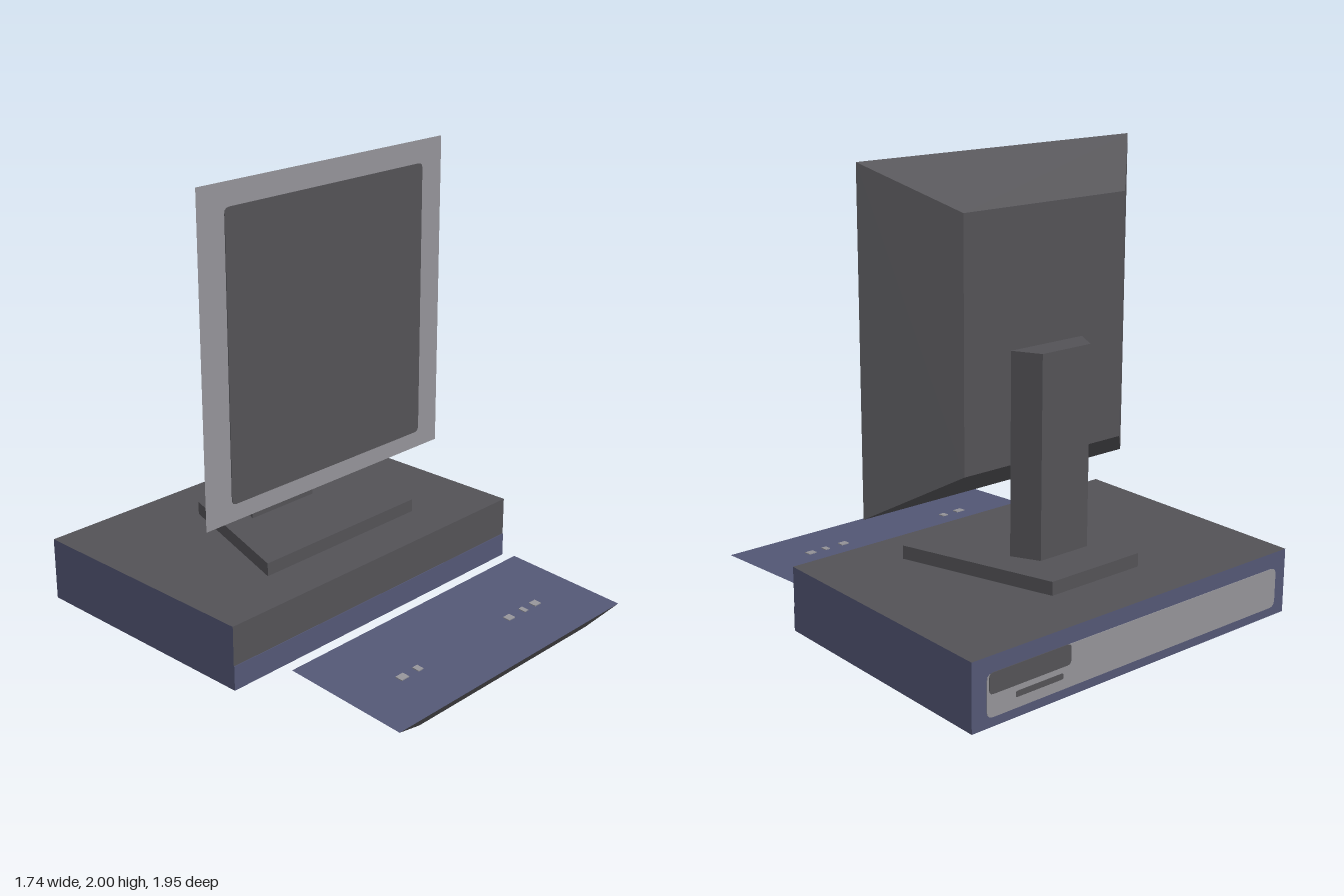
import * as THREE from 'three';

const mat = (name, color) => {
  const m = new THREE.MeshStandardMaterial({ color, side: THREE.DoubleSide });
  m.name = name;
  return m;
};

// Block between two four-cornered rings; materials: [capA, capB, side0..side3], null leaves a face open
function block(name, ringA, ringB, materials) {
  const pos = [], groups = [];
  const quad = (a, b, c, d, material) => {
    if (!material) return;
    groups.push(material);
    pos.push(...a, ...b, ...c, ...a, ...c, ...d);
  };
  const [A, B] = [ringA, ringB];
  quad(A[0], A[3], A[2], A[1], materials[0]);
  quad(B[0], B[1], B[2], B[3], materials[1]);
  for (let i = 0; i < 4; i++) {
    const j = (i + 1) % 4;
    quad(A[i], A[j], B[j], B[i], materials[2 + i]);
  }
  const g = new THREE.BufferGeometry();
  g.setAttribute('position', new THREE.Float32BufferAttribute(pos, 3));
  groups.forEach((_, i) => g.addGroup(i * 6, 6, i));
  g.computeVertexNormals();
  const mesh = new THREE.Mesh(g, groups);
  mesh.name = name;
  return mesh;
}

// Horizontal ring: front edge then back edge, each with half width, z and y
const flatRing = (wf, zf, yf, wb, zb, yb) =>
  [[-wf, yf, zf], [wf, yf, zf], [wb, yb, zb], [-wb, yb, zb]];
// Upright ring facing +z
const uprightRing = (w, y0, y1, z) =>
  [[-w, y0, z], [w, y0, z], [w, y1, z], [-w, y1, z]];

// Thin painted plate with rounded corners, spanning x0..x1, y0..y1
function plate(name, x0, x1, y0, y1, r, material) {
  const s = new THREE.Shape();
  s.moveTo(x0 + r, y0);
  s.lineTo(x1 - r, y0);
  s.quadraticCurveTo(x1, y0, x1, y0 + r);
  s.lineTo(x1, y1 - r);
  s.quadraticCurveTo(x1, y1, x1 - r, y1);
  s.lineTo(x0 + r, y1);
  s.quadraticCurveTo(x0, y1, x0, y1 - r);
  s.lineTo(x0, y0 + r);
  s.quadraticCurveTo(x0, y0, x0 + r, y0);
  const mesh = new THREE.Mesh(
    new THREE.ExtrudeGeometry(s, { depth: 0.003, bevelEnabled: false, curveSegments: 3 }), material);
  mesh.name = name;
  return mesh;
}

export function createModel() {
  const dark = mat('charcoal', 0x535256);
  const light = mat('lightGrey', 0x949398);
  const blue = mat('slateBlue', 0x535775);
  const model = new THREE.Group();
  model.name = 'desktopComputer';

  // Computer case, open underneath
  const unit = new THREE.Group();
  unit.name = 'computerCase';
  unit.add(block('caseShell',
    flatRing(0.87, 0.21, 0, 0.87, -0.97, 0),
    flatRing(0.87, 0.21, 0.29, 0.87, -0.97, 0.29),
    [null, dark, dark, blue, blue, blue]));
  const strip = plate('frontStrip', -0.87, 0.87, 0, 0.11, 0.001, blue);
  strip.position.z = 0.21;
  unit.add(strip);

  // Connector panel on the back of the case
  const panel = new THREE.Group();
  panel.name = 'rearPanel';
  const panelParts = [
    ['rearPlate', -0.81, 0.8, 0.04, 0.22, 0.03, light, 0],
    ['portRecess', 0.38, 0.79, 0.135, 0.222, 0.02, dark, 0.002],
    ['portSlot', 0.42, 0.66, 0.085, 0.11, 0.01, dark, 0.002],
  ];
  for (const [name, x0, x1, y0, y1, r, m, out] of panelParts) {
    const p = plate(name, x0, x1, y0, y1, r, m);
    p.position.z = -0.973 - out;
    panel.add(p);
  }
  unit.add(panel);
  model.add(unit);

  // Monitor stand
  const stand = new THREE.Group();
  stand.name = 'monitorStand';
  stand.add(block('standFoot',
    flatRing(0.463, -0.012, 0.29, 0.24, -0.707, 0.29),
    flatRing(0.463, -0.012, 0.35, 0.24, -0.707, 0.35),
    [null, dark, dark, dark, dark, dark]));
  stand.add(block('standNeck',
    flatRing(0.193, -0.393, 0.35, 0.13, -0.513, 0.35),
    flatRing(0.193, -0.393, 1.23, 0.13, -0.513, 1.23),
    [null, dark, dark, dark, dark, dark]));
  model.add(stand);

  // Monitor with tapered back and flat screen
  const monitor = new THREE.Group();
  monitor.name = 'monitor';
  monitor.add(block('monitorHousing',
    uprightRing(0.43, 0.745, 1.81, -0.387),
    uprightRing(0.723, 0.553, 2, -0.1),
    [dark, light, dark, dark, dark, dark]));
  const screen = plate('screen', -0.578, 0.596, 0.63, 1.897, 0.025, dark);
  screen.position.z = -0.1;
  monitor.add(screen);
  model.add(monitor);

  // Keyboard with sloping top
  const keyboard = new THREE.Group();
  keyboard.name = 'keyboard';
  keyboard.add(block('keyboardBody',
    flatRing(0.55, 0.925, 0, 0.55, 0.445, 0),
    flatRing(0.723, 0.975, 0.067, 0.723, 0.395, 0.105),
    [blue, blue, dark, dark, dark, dark]));
  for (const [x, w] of [[-0.43, 0.045], [-0.335, 0.03], [0.262, 0.04], [0.362, 0.025], [0.444, 0.04]]) {
    const mark = new THREE.Mesh(new THREE.BoxGeometry(w, 0.006, 0.035), light);
    mark.name = 'keyMark';
    mark.position.set(x, 0.0845, 0.727);
    mark.rotation.x = 0.065;
    keyboard.add(mark);
  }
  model.add(keyboard);

  return model;
}
